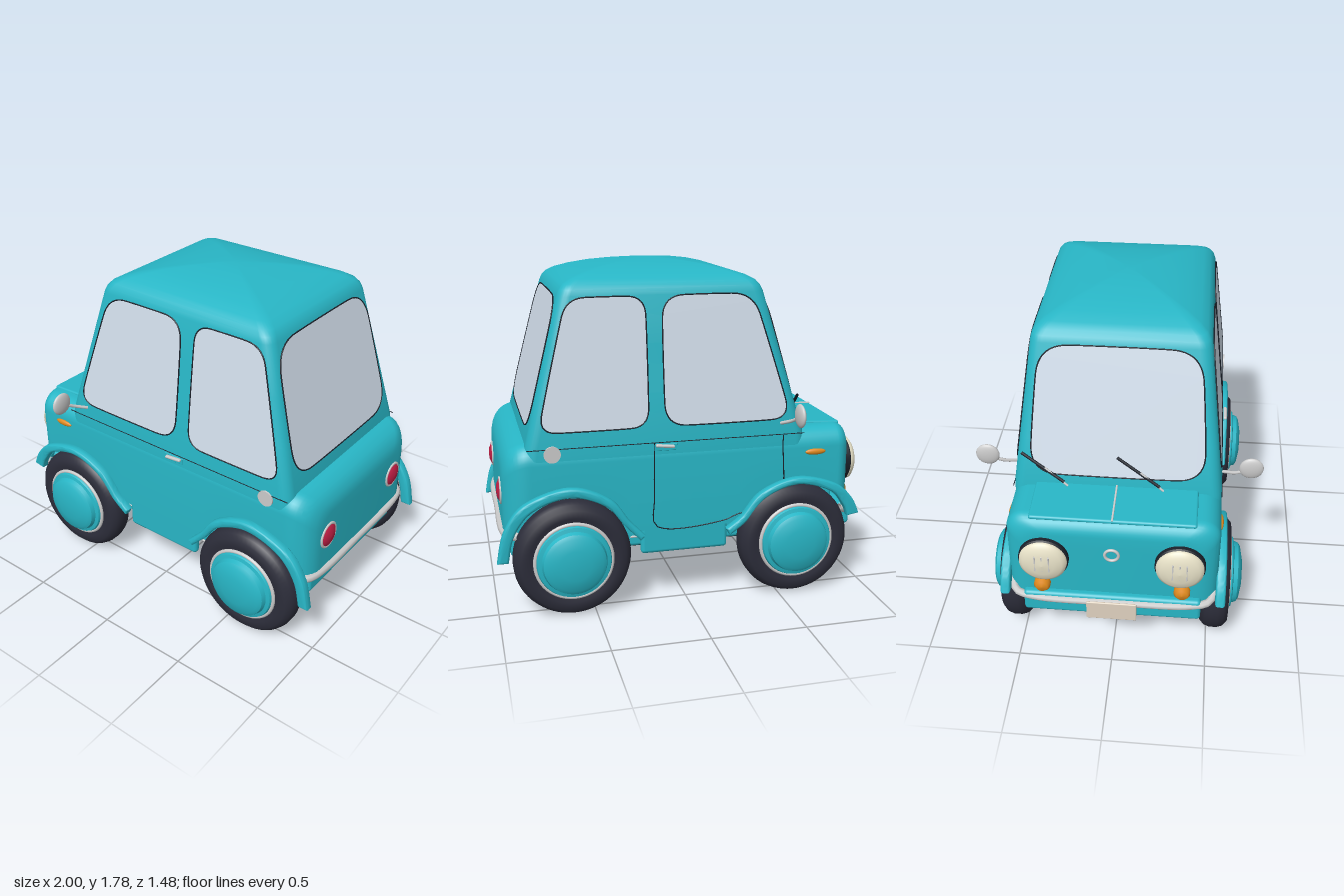
import * as THREE from 'three';
import { toCreasedNormals } from 'three/addons/utils/BufferGeometryUtils.js';
import { RoundedBoxGeometry } from 'three/addons/geometries/RoundedBoxGeometry.js';

const mat = (color) => new THREE.MeshStandardMaterial({ color, side: THREE.DoubleSide });
const M = {
  paint: mat(0x28b6c6), glass: mat(0xd3dfec), tyre: mat(0x2c2d3a), dark: mat(0x1a2029),
  chrome: mat(0xcccccc), red: mat(0xc01f45), amber: mat(0xe08a1e), lens: mat(0xe8e2c8), plate: mat(0xe0d2c0),
};
const V = (x, y, z) => new THREE.Vector3(x, y, z);

export function createModel() {
  const car = new THREE.Group();
  car.name = 'smallCar';

  const add = (name, geo, material, x = 0, y = 0, z = 0, parent = car) => {
    const m = new THREE.Mesh(geo, material);
    m.name = name;
    m.position.set(x, y, z);
    parent.add(m);
    return m;
  };
  const box = (w, h, d, r = 0.01) => new RoundedBoxGeometry(w, h, d, 3, r);
  const tube = (pts, r, closed = false, n = 40) =>
    new THREE.TubeGeometry(new THREE.CatmullRomCurve3(pts, closed, 'centripetal'), n, r, 8, closed);
  const lathe = (pts, n = 48) => new THREE.LatheGeometry(pts.map((p) => new THREE.Vector2(...p)), n);

  // Skin over rings of equal length, with a fan closing each end
  function loft(rings, closed) {
    const n = rings[0].length, pos = [], idx = [];
    rings.forEach((r) => r.forEach((p) => pos.push(p.x, p.y, p.z)));
    for (let i = 0; i < rings.length - 1; i++) {
      for (let j = 0; j < (closed ? n : n - 1); j++) {
        const a = i * n + j, b = i * n + ((j + 1) % n);
        idx.push(a, b, a + n, b, b + n, a + n);
      }
    }
    [0, rings.length - 1].forEach((i, end) => {
      const c = rings[i].reduce((s, p) => s.add(p), V(0, 0, 0)).divideScalar(n);
      const k = pos.length / 3;
      pos.push(c.x, c.y, c.z);
      for (let j = 0; j < n; j++) {
        const a = i * n + j, b = i * n + ((j + 1) % n);
        idx.push(...(end ? [a, b, k] : [b, a, k]));
      }
    });
    const g = new THREE.BufferGeometry();
    g.setAttribute('position', new THREE.Float32BufferAttribute(pos, 3));
    g.setIndex(idx);
    return toCreasedNormals(g, 0.6);
  }

  // Lower body: sections along x, their lower edge lifted over the wheels
  const wheelX = [-0.585, 0.615], axleY = 0.315, archR = 0.325;
  const x0 = -0.925, x1 = 0.955;
  const stations = [-0.1, 0.05, 0.2];
  for (let i = 0; i <= 8; i++) {
    const c = 1 - Math.cos((i / 8) * Math.PI / 2);
    stations.push(x0 + 0.085 * c, x1 - 0.14 * c);
  }
  for (const cx of wheelX) {
    for (let i = 0; i <= 24; i++) {
      const x = cx + archR * Math.cos(0.329 + (i / 24) * (Math.PI - 0.658));
      if (x > x0 && x < x1) stations.push(x);
    }
  }
  stations.sort((a, b) => a - b);
  const round = (d, R) => (d >= R ? 0 : R - Math.sqrt(Math.max(0, R * R - (R - d) ** 2)));
  const sections = stations.map((x) => {
    const front = round(x - x0, 0.085), rear = round(x1 - x, 0.14);
    const w = 0.541 - front * 1.4 - rear, top = 0.91 - front - rear, r = 0.1;
    let low = 0.42;
    for (const cx of wheelX) {
      const d = Math.abs(x - cx);
      if (d < archR) low = Math.max(low, axleY + Math.sqrt(archR ** 2 - d * d));
    }
    const ring = [V(x, low, -w)];
    for (let i = 0; i <= 8; i++) {
      const a = (i / 8) * Math.PI / 2;
      ring.push(V(x, top - r + r * Math.sin(a), -(w - r + r * Math.cos(a))));
    }
    return ring.concat(ring.map((p) => V(p.x, p.y, -p.z)).reverse());
  });
  add('lowerBody', loft(sections, false), M.paint);
  add('innerBody', box(1.78, 0.39, 0.86, 0.02), M.paint, 0.03, 0.485, 0);
  add('floor', box(1.72, 0.012, 0.81, 0.004), M.dark, 0.03, 0.289, 0);
  add('frontValance', box(0.07, 0.13, 0.92, 0.02), M.paint, -0.925, 0.385, 0);
  add('bonnet', box(0.27, 0.024, 0.84, 0.012), M.paint, -0.755, 0.908, 0).rotation.z = 0.05;
  add('bonnetTrim', box(0.26, 0.008, 0.01, 0.003), M.chrome, -0.76, 0.922, 0).rotation.z = 0.05;

  // Cabin and domed roof: rounded rectangles stacked in y
  const rectRing = (y, a, b, w, r) => {
    const pts = [];
    [[b - r, -1, 0], [a + r, -1, 1], [a + r, 1, 2], [b - r, 1, 3]].forEach(([cx, s, q]) => {
      for (let i = 0; i <= 6; i++) {
        const t = (q + i / 6) * Math.PI / 2;
        pts.push(V(cx + r * Math.cos(t), y, s * (w - r) - r * Math.sin(t)));
      }
    });
    return pts;
  };
  const sideZ = (y) => 0.539 - 0.12 * (y - 0.9);
  const frontX = (y) => -0.645 + 0.287 * (y - 0.9);
  const rearX = (y) => 0.835 - 0.26 * (y - 0.9);
  const cabin = [rectRing(0.8, -0.645, 0.835, 0.539, 0.05)];
  for (const y of [0.9, 1.15, 1.4, 1.64]) cabin.push(rectRing(y, frontX(y), rearX(y), sideZ(y), 0.06));
  for (const [y, s] of [[1.67, 0.98], [1.695, 0.94], [1.718, 0.86], [1.742, 0.72], [1.764, 0.54], [1.78, 0.34], [1.79, 0.16], [1.794, 0.03]]) {
    cabin.push(rectRing(y, 0.108 - 0.538 * s, 0.108 + 0.532 * s, 0.45 * s, 0.06 * s));
  }
  add('cabin', loft(cabin, true), M.paint);

  // Windows: rounded outlines laid on the sloping cabin walls
  function windowPane(name, corners, r, place) {
    const c = corners.map((p) => new THREE.Vector2(...p)), s = new THREE.Shape();
    c.forEach((p, i) => {
      const toward = (q) => p.clone().add(q.clone().sub(p).setLength(r));
      const a = toward(c[(i + c.length - 1) % c.length]), b = toward(c[(i + 1) % c.length]);
      i ? s.lineTo(a.x, a.y) : s.moveTo(a.x, a.y);
      s.quadraticCurveTo(p.x, p.y, b.x, b.y);
    });
    s.closePath();
    const g = new THREE.ShapeGeometry(s, 10), p = g.attributes.position;
    for (let i = 0; i < p.count; i++) p.setXYZ(i, ...place(p.getX(i), p.getY(i)));
    g.computeVertexNormals();
    add(name, g, M.glass);
    const edge = s.getPoints(8).slice(0, -1).map((q) => V(...place(q.x, q.y)));
    add(name + 'Seal', tube(edge, 0.0035, true, 120), M.dark);
  }
  const endPane = [[-0.455, 0.975], [0.455, 0.975], [0.405, 1.635], [-0.405, 1.635]];
  windowPane('windscreen', endPane, 0.16, (u, y) => [frontX(y) - 0.003, y, u]);
  windowPane('rearWindow', endPane, 0.16, (u, y) => [rearX(y) + 0.003, y, u]);

  // Fender outlines, outer edge then inner edge
  const fenders = [
    [[[-0.955, 0.43], [-0.91, 0.52], [-0.81, 0.605], [-0.6, 0.652], [-0.4, 0.585], [-0.29, 0.46], [-0.21, 0.4]],
      [[-0.225, 0.37], [-0.315, 0.44], [-0.42, 0.56], [-0.6, 0.622], [-0.79, 0.57], [-0.87, 0.48], [-0.895, 0.42]]],
    [[[0.995, 0.325], [0.955, 0.49], [0.85, 0.62], [0.62, 0.688], [0.42, 0.615], [0.32, 0.49], [0.24, 0.405]],
      [[0.26, 0.385], [0.345, 0.475], [0.44, 0.585], [0.62, 0.647], [0.81, 0.59], [0.91, 0.47], [0.945, 0.325]]],
  ];
  const smooth = (pts) => new THREE.SplineCurve(pts.map((p) => new THREE.Vector2(...p))).getPoints(40);

  const tyre = lathe([[0.18, -0.06], [0.23, -0.075], [0.27, -0.073], [0.295, -0.05], [0.305, -0.02],
    [0.305, 0.02], [0.295, 0.05], [0.27, 0.073], [0.23, 0.075], [0.18, 0.06]], 64).rotateX(Math.PI / 2);
  const hub = toCreasedNormals(lathe([[0, -0.06], [0.195, -0.06], [0.195, 0.075], [0.188, 0.09], [0.168, 0.095],
    [0.16, 0.118], [0.14, 0.13], [0.08, 0.142], [0, 0.146]]).rotateX(Math.PI / 2), 0.5);
  const rimRing = new THREE.TorusGeometry(0.198, 0.011, 8, 48);

  for (const s of [1, -1]) {
    const side = s > 0 ? 'left' : 'right';
    const onSide = (u, y) => [u, y, s * (sideZ(y) + 0.003)];
    windowPane(side + 'FrontSideWindow', [[-0.565, 0.975], [0.12, 0.975], [0.12, 1.635], [-0.365, 1.635]], 0.12, onSide);
    windowPane(side + 'RearSideWindow', [[0.205, 0.975], [0.77, 0.975], [0.605, 1.635], [0.205, 1.635]], 0.1, onSide);

    fenders.forEach(([outer, inner], i) => {
      const shape = new THREE.Shape([...smooth(outer), ...smooth(inner)]);
      const g = new THREE.ExtrudeGeometry(shape, { depth: 0.022, bevelSize: 0.014, bevelThickness: 0.015, bevelOffset: -0.01, bevelSegments: 4 });
      add(side + (i ? 'RearFender' : 'FrontFender'), toCreasedNormals(g, 0.7), M.paint, 0, 0, s * 0.558 - 0.011);

      const wheel = new THREE.Group();
      wheel.name = side + (i ? 'RearWheel' : 'FrontWheel');
      wheel.position.set(wheelX[i], axleY, s * 0.535);
      if (s < 0) wheel.rotation.y = Math.PI;
      add('tyre', tyre, M.tyre, 0, 0, 0, wheel);
      add('hubcap', hub, M.paint, 0, 0, 0, wheel);
      add('rimRing', rimRing, M.chrome, 0, 0, 0.07, wheel);
      car.add(wheel);
    });

    add(side + 'Sill', box(0.47, 0.155, 0.045, 0.02), M.paint, 0.015, 0.363, s * 0.515);
    add(side + 'SillTrim', tube([V(-0.28, 0.375, s * 0.5), V(0.3, 0.375, s * 0.5)], 0.006), M.chrome);
    add(side + 'WaistSeam', box(1.47, 0.004, 0.004, 0.001), M.dark, 0.095, 0.893, s * 0.539);
    add(side + 'HandleRecess', box(0.12, 0.035, 0.008, 0.003), M.paint, 0.12, 0.867, s * 0.541);
    add(side + 'DoorHandle', box(0.1, 0.016, 0.02, 0.007), M.chrome, 0.125, 0.877, s * 0.555).rotation.z = 0.1;
    add(side + 'FuelCap', new THREE.CylinderGeometry(0.043, 0.043, 0.025, 32).rotateX(Math.PI / 2), M.chrome, 0.703, 0.867, s * 0.535);
    add(side + 'SideIndicator', new THREE.SphereGeometry(1, 24, 12).scale(0.058, 0.017, 0.013), M.amber, -0.705, 0.785, s * 0.542);

    // Mirror on its stalk
    add(side + 'MirrorStalk', tube([V(-0.505, 0.955, s * 0.54), V(-0.54, 0.98, s * 0.6), V(-0.555, 1.01, s * 0.66)], 0.009), M.chrome);
    add(side + 'Mirror', new THREE.SphereGeometry(1, 24, 16).scale(0.02, 0.062, 0.062), M.chrome, -0.555, 1.025, s * 0.68);

    // Lamps
    const toFront = Math.PI / 2, toRear = -Math.PI / 2;
    add(side + 'HeadlampHousing', toCreasedNormals(lathe([[0.128, 0], [0.128, 0.06], [0.115, 0.07], [0, 0.07]]).rotateZ(toFront), 0.5), M.dark, -0.885, 0.68, s * 0.345);
    add(side + 'Headlamp', lathe([[0.122, 0], [0.12, 0.015], [0.1, 0.03], [0.06, 0.042], [0, 0.047]]).rotateZ(toFront), M.lens, -0.953, 0.68, s * 0.345);
    for (let k = -1; k <= 1; k++) {
      add(side + 'HeadlampRib', box(0.006, 0.1, 0.008, 0.002), M.chrome, -0.994, 0.69, s * 0.345 + k * 0.035);
    }
    add(side + 'FrontIndicator', lathe([[0.042, 0], [0.042, 0.03], [0.03, 0.045], [0, 0.05]], 32).rotateZ(toFront), M.amber, -0.92, 0.5, s * 0.36);
    add(side + 'TailLampRing', new THREE.TorusGeometry(0.066, 0.008, 8, 40).rotateY(Math.PI / 2), M.chrome, 0.955, 0.635, s * 0.338);
    add(side + 'TailLamp', lathe([[0.064, 0], [0.06, 0.01], [0.035, 0.022], [0, 0.026]], 40).rotateZ(toRear), M.red, 0.952, 0.635, s * 0.338);
  }

  // Door seam on the driver's flank
  add('doorSeam', tube([V(-0.52, 0.89, -0.541), V(-0.5, 0.5, -0.541), V(-0.28, 0.47, -0.541), V(-0.2, 0.44, -0.541),
    V(0.17, 0.44, -0.541), V(0.18, 0.6, -0.541), V(0.18, 0.89, -0.541)], 0.003), M.dark);

  // Bumpers and number plate
  add('rearBumper', tube([V(0.88, 0.44, 0.525), V(0.935, 0.432, 0.47), V(0.953, 0.422, 0), V(0.935, 0.432, -0.47), V(0.88, 0.44, -0.525)], 0.023), M.chrome);
  add('frontBumper', tube([V(-0.86, 0.45, 0.53), V(-0.925, 0.425, 0.5), V(-0.95, 0.415, 0.4), V(-0.955, 0.412, 0),
    V(-0.95, 0.415, -0.4), V(-0.925, 0.425, -0.5), V(-0.86, 0.45, -0.53)], 0.021), M.chrome);
  add('numberPlate', box(0.012, 0.115, 0.26, 0.005), M.plate, -0.978, 0.37, 0);
  add('noseRing', new THREE.TorusGeometry(0.035, 0.008, 8, 28).rotateY(Math.PI / 2), M.chrome, -0.93, 0.72, 0);

  // Wipers
  for (const z of [0.24, -0.25]) {
    add('wiperArm', tube([V(-0.66, 0.93, z), V(-0.635, 1.02, z - 0.12)], 0.006), M.chrome);
    add('wiperBlade', tube([V(-0.655, 0.95, z - 0.02), V(-0.61, 1.09, z - 0.24)], 0.008), M.dark);
  }
  return car;
}
